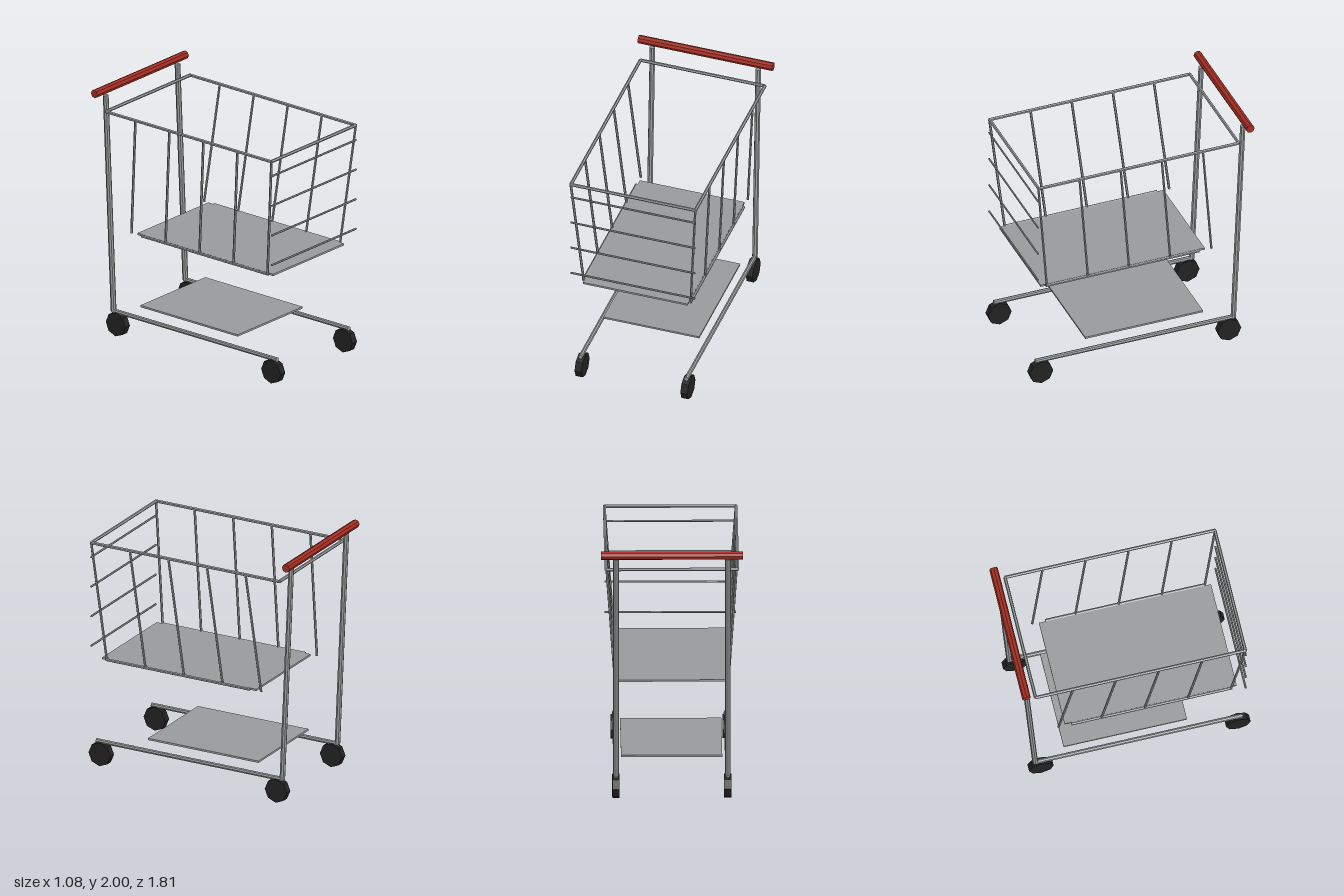
import * as THREE from 'three';

export function createModel() {
  const group = new THREE.Group();
  const mat = (name, color) => {
    const m = new THREE.MeshStandardMaterial({ color, flatShading: true });
    m.name = name;
    return m;
  };
  const steel = mat('steel grey', 0x979c9c);
  const red = mat('handle red', 0xa32d22);
  const rubber = mat('wheel black', 0x222222);

  const add = (name, geometry, material, x, y, z) => {
    const mesh = new THREE.Mesh(geometry, material);
    mesh.name = name;
    mesh.position.set(x, y, z);
    group.add(mesh);
    return mesh;
  };

  // Straight tube between two points
  const up = new THREE.Vector3(0, 1, 0);
  const rod = (name, a, b, radius, sides = 6, material = steel) => {
    const p = new THREE.Vector3(...a), q = new THREE.Vector3(...b);
    const dir = q.clone().sub(p);
    const mid = p.clone().add(q).multiplyScalar(0.5);
    const mesh = add(name, new THREE.CylinderGeometry(radius, radius, dir.length(), sides), material, mid.x, mid.y, mid.z);
    mesh.quaternion.setFromUnitVectors(up, dir.normalize());
  };

  // Push handle
  rod('handle', [-0.54, 1.968, -0.867], [0.54, 1.968, -0.867], 0.033, 8, red);

  // Basket floor and lower shelf
  add('basketFloor', new THREE.BoxGeometry(0.84, 0.015, 1.345), steel, 0, 0.872, 0.132);
  add('lowerShelf', new THREE.BoxGeometry(0.77, 0.015, 0.965), steel, 0, 0.273, -0.058);

  for (const s of [1, -1]) {
    // Frame
    rod('upright', [s * 0.425, 0.19, -0.772], [s * 0.425, 1.93, -0.85], 0.022, 8);
    rod('baseRail', [s * 0.425, 0.195, 0.85], [s * 0.425, 0.192, -0.78], 0.018, 8);

    // Wheels
    for (const z of [0.81, -0.73]) {
      const wheel = add('wheel', new THREE.CylinderGeometry(0.096, 0.096, 0.056, 8), rubber, s * 0.425, 0.096, z);
      wheel.rotation.z = Math.PI / 2;
    }

    // Basket side: rim, bottom rail and slanted bars
    rod('sideRim', [s * 0.5, 1.833, 0.857], [s * 0.5, 1.833, -0.787], 0.013);
    rod('bottomRail', [s * 0.43, 0.872, 0.765], [s * 0.43, 0.872, -0.49], 0.012);
    for (let i = 0; i < 5; i++) {
      const z = 0.855 - i * 0.337;
      rod('sideBar', [s * 0.5, 1.833, z], [s * 0.43, 0.872, z - 0.097], 0.01);
    }
  }

  // Rim ends and front bars
  rod('frontRim', [-0.5, 1.833, 0.853], [0.5, 1.833, 0.853], 0.013);
  rod('rearRim', [-0.5, 1.833, -0.787], [0.5, 1.833, -0.787], 0.013);
  for (let i = 0; i < 4; i++) {
    const y = 0.99 + i * 0.2415;
    rod('frontBar', [-0.5, y, 0.857], [0.5, y, 0.857], 0.008);
  }

  return group;
}
